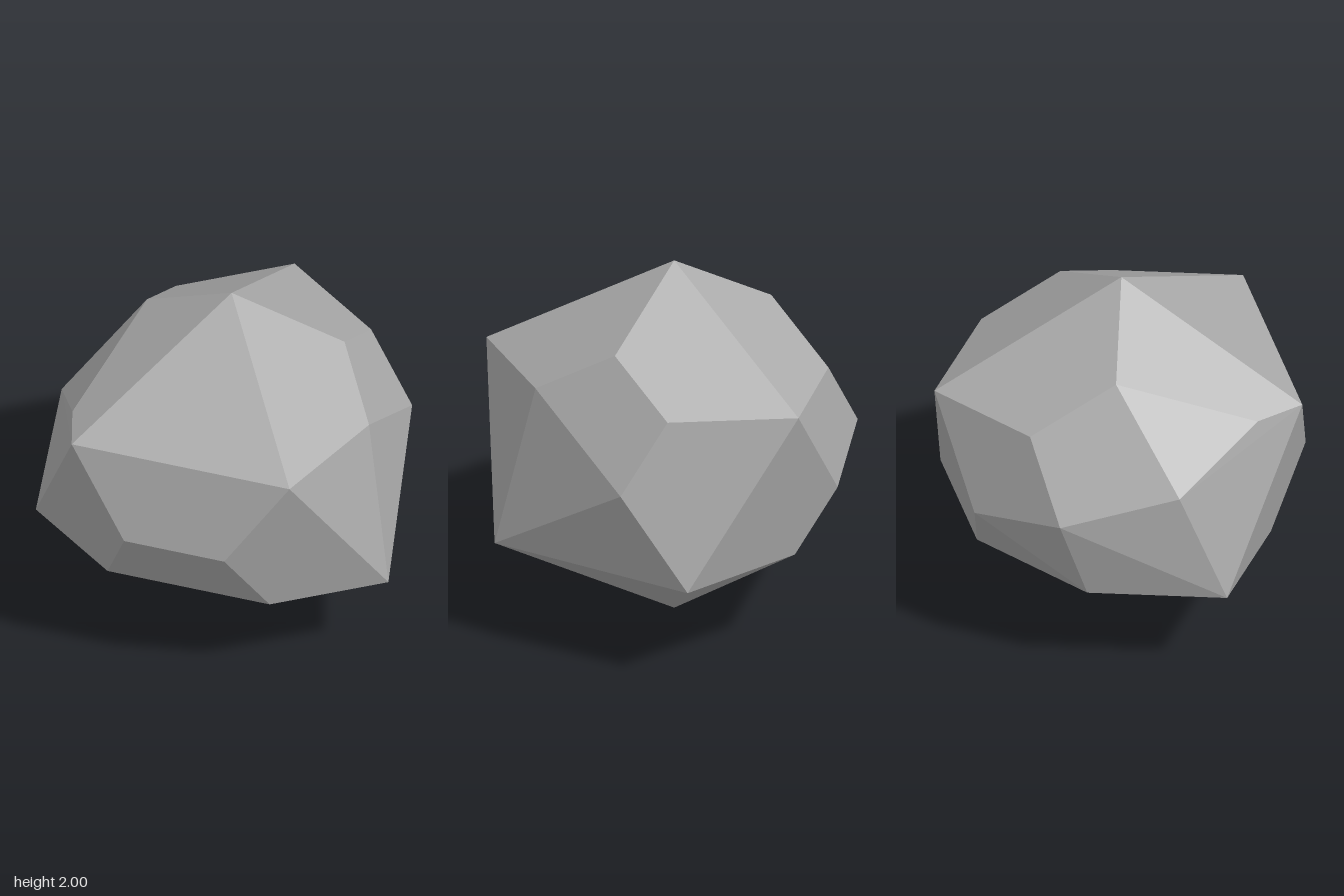
import * as THREE from 'three';
import { ConvexGeometry } from 'three/addons/geometries/ConvexGeometry.js';

const CENTRE_X = 0.04;

// Corner of one of the two five-cornered rings, by angle in degrees
function ringCorner(degrees, y) {
  const a = THREE.MathUtils.degToRad(degrees);
  return new THREE.Vector3(CENTRE_X + 1.022 * Math.cos(a), y, 1.007 * Math.sin(a));
}

// Points left on the edges from a sliced-off corner to its neighbours
function slice(corner, neighbours, t) {
  return neighbours.map((n) => corner.clone().lerp(n, t));
}

export function createModel() {
  const group = new THREE.Group();
  group.name = 'facetedStone';

  // Slightly squashed twenty-sided body
  const top = new THREE.Vector3(CENTRE_X, 2, 0);
  const bottom = new THREE.Vector3(CENTRE_X, 0, 0);
  const upper = [0, 72, 144, 216, 288].map((d) => ringCorner(d, 1.45));
  const lower = [36, 108, 180, 252, 324].map((d) => ringCorner(d, 0.555));

  const points = [
    // Corners left whole
    top, bottom, upper[1], upper[2], upper[4], lower[0], lower[2], lower[4],
    // Sliced corner on the left side
    ...slice(upper[0], [top, upper[1], upper[4], lower[4]], 0.423),
    // Sliced corner low on the front
    ...slice(lower[1], [upper[1], upper[2], lower[0], lower[2]], 0.46),
    // Sliced corner high on the back right, with a skewed lower edge
    ...slice(upper[3], [top, upper[4], lower[3]], 0.46),
    upper[3].clone().lerp(upper[2], 0.765),
    new THREE.Vector3(-0.85, 1.19, -0.21),
    // Sliced corner low on the back
    ...slice(lower[3], [upper[4], lower[4], lower[2]], 0.385),
  ];

  const stoneGrey = new THREE.MeshStandardMaterial({ color: 0xaaaaaa });
  stoneGrey.name = 'stoneGrey';

  const stone = new THREE.Mesh(new ConvexGeometry(points), stoneGrey);
  stone.name = 'stone';
  group.add(stone);
  return group;
}
